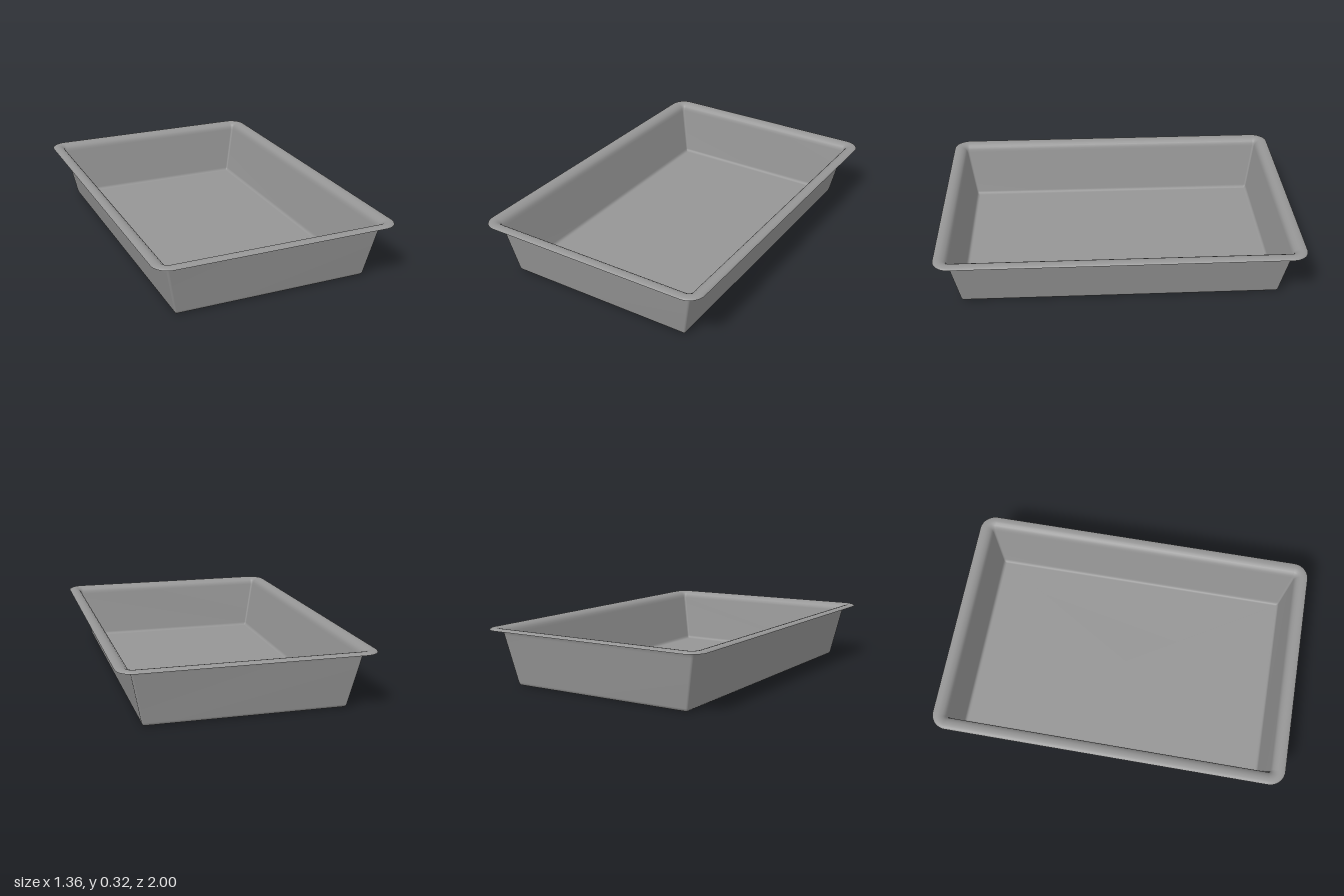
import * as THREE from 'three';

// Cross-section rings from floor to lip: half width, half length, height, corner radius
const RINGS = [
  [0.528, 0.862, 0, 0.004],
  [0.537, 0.871, 0.002, 0.006],
  [0.543, 0.877, 0.008, 0.008],
  [0.547, 0.881, 0.018, 0.01],
  [0.602, 0.922, 0.280, 0.012],
  [0.606, 0.926, 0.295, 0.016],
  [0.612, 0.932, 0.307, 0.022],
  [0.622, 0.942, 0.316, 0.032],
  [0.635, 0.955, 0.323, 0.045],
  [0.648, 0.968, 0.325, 0.058],
  [0.660, 0.980, 0.3245, 0.07],
  [0.671, 0.991, 0.322, 0.081],
  [0.678, 0.998, 0.318, 0.088],
  [0.680, 1.000, 0.314, 0.09],
];
const CORNER_STEPS = 10;

// Points of one rounded-rectangle ring
function ringPoints([hx, hz, y, r]) {
  const points = [];
  const signs = [[1, 1], [-1, 1], [-1, -1], [1, -1]];
  signs.forEach(([sx, sz], corner) => {
    for (let k = 0; k <= CORNER_STEPS; k++) {
      const a = (corner + k / CORNER_STEPS) * Math.PI / 2;
      points.push(sx * (hx - r) + r * Math.cos(a), y, sz * (hz - r) + r * Math.sin(a));
    }
  });
  return points;
}

export function createModel() {
  const n = 4 * (CORNER_STEPS + 1);
  const positions = RINGS.flatMap(ringPoints);
  const center = positions.length / 3;
  positions.push(0, 0, 0);

  const indices = [];
  for (let i = 0; i < n; i++) {
    const next = (i + 1) % n;
    // Floor
    indices.push(center, next, i);
    // Walls and rolled rim
    for (let j = 0; j < RINGS.length - 1; j++) {
      const a = j * n + i, b = j * n + next;
      indices.push(a, b, a + n, b, b + n, a + n);
    }
  }

  const geometry = new THREE.BufferGeometry();
  geometry.setAttribute('position', new THREE.Float32BufferAttribute(positions, 3));
  geometry.setIndex(indices);
  geometry.computeVertexNormals();

  const material = new THREE.MeshStandardMaterial({ color: 0x959595, side: THREE.DoubleSide });
  const tray = new THREE.Mesh(geometry, material);
  tray.name = 'tray';

  const group = new THREE.Group();
  group.name = 'bakingTray';
  group.add(tray);
  return group;
}
